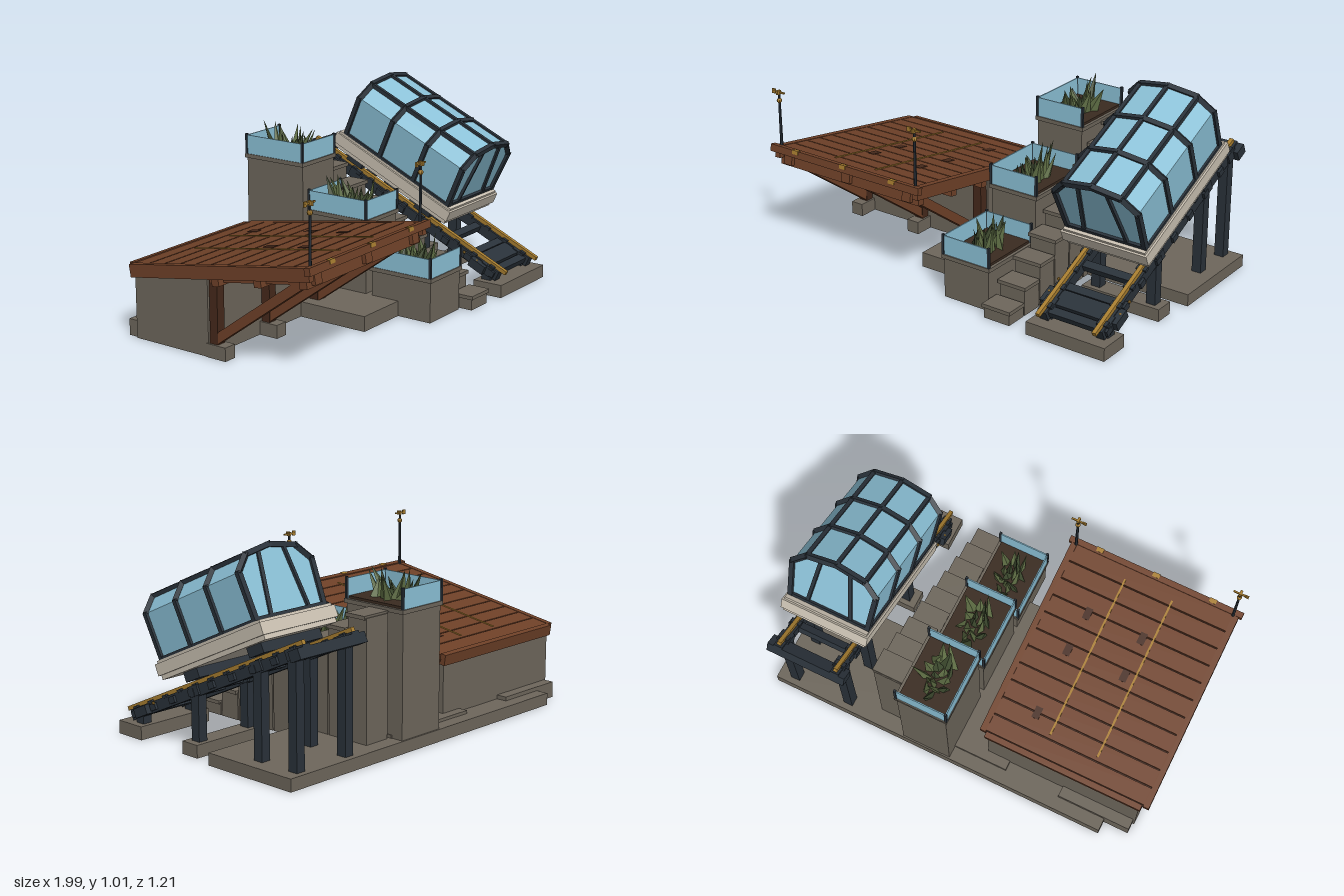
import * as THREE from 'three';

const mat = (name, color) => {
  const m = new THREE.MeshStandardMaterial({ color, flatShading: true });
  m.name = name;
  return m;
};

export function createModel() {
  const root = new THREE.Group();
  root.name = 'hillsideStation';
  const concrete = mat('concrete', 0x6e675c);
  const wood = mat('deck wood', 0x6f4128);
  const darkWood = mat('dark wood', 0x46291b);
  const soil = mat('soil', 0x3a2b20);
  const metal = mat('dark metal', 0x2a323a);
  const gold = mat('brass', 0xa87e30);
  const cream = mat('cream', 0xcac1b2);
  const glass = mat('glass', 0x8cc2d8);
  glass.side = THREE.DoubleSide;
  const leaf = mat('leaf', 0x5d6c43);
  const darkLeaf = mat('dark leaf', 0x3f4c30);

  const group = (name, parent = root) => {
    const g = new THREE.Group();
    g.name = name;
    parent.add(g);
    return g;
  };
  const add = (parent, name, geo, m) => {
    const mesh = new THREE.Mesh(geo, m);
    mesh.name = name;
    parent.add(mesh);
    return mesh;
  };
  // Box given by its limits on each axis
  const box = (parent, name, m, x0, x1, y0, y1, z0, z1) => {
    const b = add(parent, name, new THREE.BoxGeometry(x1 - x0, y1 - y0, z1 - z0), m);
    b.position.set((x0 + x1) / 2, (y0 + y1) / 2, (z0 + z1) / 2);
    return b;
  };
  // Square bar between two points
  const bar = (parent, name, m, a, b, w, h = w) => {
    const p = new THREE.Vector3(...a), q = new THREE.Vector3(...b);
    const s = add(parent, name, new THREE.BoxGeometry(w, h, p.distanceTo(q) + w * 0.5), m);
    s.position.copy(p).add(q).multiplyScalar(0.5);
    s.quaternion.setFromUnitVectors(new THREE.Vector3(0, 0, 1), q.sub(p).normalize());
    return s;
  };
  let seed = 7;
  const rand = () => (seed = (seed * 16807) % 2147483647) / 2147483647;

  // Foundations
  const base = group('foundation');
  box(base, 'backSlab', concrete, -0.8, 0.99, 0, 0.06, -0.59, -0.07);
  box(base, 'leftSlab', concrete, -0.93, -0.55, 0, 0.08, -0.525, -0.1);
  box(base, 'middleSlab', concrete, -0.26, 0.28, 0, 0.075, -0.52, 0.33);
  box(base, 'middleFooting', concrete, 0.54, 0.96, 0, 0.062, 0.04, 0.14);
  box(base, 'frontFooting', concrete, 0.54, 0.96, 0, 0.065, 0.43, 0.59);

  // Retaining wall with a top that follows the deck
  const wallShape = new THREE.Shape([[0.47, 0], [0.04, 0], [0.04, 0.385], [0.47, 0.315]]
    .map(p => new THREE.Vector2(...p)));
  const wall = add(root, 'retainingWall',
    new THREE.ExtrudeGeometry(wallShape, { depth: 0.8, bevelEnabled: false }), concrete);
  wall.rotation.y = Math.PI / 2;
  wall.position.x = -0.94;

  // Tilted plank deck
  const deck = group('deck');
  deck.position.set(-0.54, 0.538, 0.57);
  deck.rotation.x = -0.165;
  for (let i = 0; i < 11; i++) {
    const z = -0.03 - i * 0.0925;
    box(deck, 'plank', wood, -0.42, 0.42, -0.024, 0, z - 0.086, z);
  }
  box(deck, 'underlay', darkWood, -0.42, 0.42, -0.034, -0.022, -1.05, -0.02);
  box(deck, 'frontBeam', wood, -0.46, 0.46, -0.03, 0.006, -0.03, 0);
  box(deck, 'backBeam', wood, -0.41, 0.41, -0.05, 0.004, -1.075, -1.045);
  for (const s of [-1, 1]) {
    box(deck, 'sideBeam', wood, s * 0.43 - 0.015, s * 0.43 + 0.015, -0.06, 0.002, -1.05, -0.02);
  }
  for (const x of [-0.37, 0, 0.37]) {
    box(deck, 'joist', wood, x - 0.025, x + 0.025, -0.085, -0.034, -0.62, -0.03);
  }
  for (const z of [-0.07, -0.32, -0.56]) {
    box(deck, 'crossBeam', wood, -0.43, 0.43, -0.095, -0.045, z - 0.02, z + 0.02);
  }
  for (const x of [-0.122, 0.128]) {
    box(deck, 'brassInlay', gold, x - 0.005, x + 0.005, -0.002, 0.003, -0.93, -0.09);
  }
  for (const x of [-0.3, 0, 0.3]) {
    box(deck, 'brassPlate', gold, x - 0.018, x + 0.018, -0.012, 0.008, -0.02, 0.003);
  }
  for (const [x, z] of [[0.23, -0.86], [-0.07, -0.52], [0.23, -0.52], [-0.07, -0.32], [0.22, -0.32]]) {
    box(deck, 'knot', darkWood, x - 0.018, x + 0.018, -0.003, 0.002, z - 0.03, z + 0.03);
  }

  // Posts, diagonal braces and feet under the deck
  for (const x of [-0.91, -0.54, -0.17]) {
    box(root, 'deckFoot', concrete, x - 0.034, x + 0.034, 0, 0.065, -0.05, 0.06);
    box(root, 'deckPost', darkWood, x - 0.024, x + 0.024, 0.06, 0.4, -0.035, 0.01);
    bar(root, 'deckBrace', wood, [x, 0.09, 0], [x, 0.465, 0.51], 0.044);
  }

  // Wind vanes on the front corners of the deck
  for (const x of [-0.955, -0.12]) {
    const vane = group('windVane');
    vane.position.set(x, 0.53, 0.54);
    add(vane, 'mast', new THREE.CylinderGeometry(0.006, 0.008, 0.28, 6), metal).position.y = 0.14;
    add(vane, 'ball', new THREE.SphereGeometry(0.013, 8, 6), gold).position.y = 0.24;
    box(vane, 'arm', gold, -0.035, 0.035, 0.278, 0.286, -0.004, 0.004);
    box(vane, 'tail', gold, -0.042, -0.022, 0.27, 0.294, -0.003, 0.003);
    box(vane, 'pointer', gold, -0.006, 0.006, 0.272, 0.292, -0.008, 0.016);
  }

  // Three stepped planters, open on the stair side
  [[0.22, 0.17, 0.52], [0.445, -0.205, 0.15], [0.67, -0.59, -0.23]].forEach(([top, z0, z1]) => {
    const p = group('planter');
    box(p, 'planterTower', concrete, 0.02, 0.275, 0, top - 0.015, z0 + 0.008, z1 - 0.008);
    box(p, 'planterRim', concrete, 0.01, 0.285, top - 0.02, top, z0, z1);
    box(p, 'soilBed', soil, 0.025, 0.27, top - 0.005, top + 0.012, z0 + 0.015, z1 - 0.015);
    box(p, 'frontGlass', glass, 0.02, 0.275, top, top + 0.095, z1 - 0.012, z1 - 0.006);
    box(p, 'backGlass', glass, 0.02, 0.275, top, top + 0.095, z0 + 0.006, z0 + 0.012);
    box(p, 'sideGlass', glass, 0.014, 0.02, top, top + 0.095, z0 + 0.01, z1 - 0.01);
    for (const x of [0.016, 0.277]) for (const z of [z0 + 0.008, z1 - 0.008]) {
      box(p, 'glassPost', metal, x - 0.006, x + 0.006, top, top + 0.102, z - 0.006, z + 0.006);
    }
    // Spiky leaves, each a flattened cone leaning outwards
    for (let i = 0; i < 17; i++) {
      const h = 0.09 + rand() * 0.085, a = i * 2.4, r = Math.sqrt((i + 0.5) / 17);
      const geo = new THREE.ConeGeometry(0.026 + rand() * 0.012, h, 4);
      geo.scale(1, 1, 0.5).translate(0, h / 2 - 0.01, 0);
      const l = add(p, 'leaf', geo, i % 3 ? leaf : darkLeaf);
      l.position.set(0.145 + Math.cos(a) * r * 0.065, top + 0.005, (z0 + z1) / 2 + Math.sin(a) * r * 0.1);
      l.rotation.set(Math.sin(a) * r * 0.5, rand() * 3, -Math.cos(a) * r * 0.5);
    }
  });

  // Stair of solid steps
  for (let i = 0; i < 9; i++) {
    const z1 = 0.58 - i * 0.121, top = 0.073 * (i + 1);
    box(root, 'stepBlock', concrete, 0.295, 0.435, 0, top - 0.01, z1 - 0.121, z1 - 0.008);
    box(root, 'stepTread', concrete, 0.287, 0.443, top - 0.018, top, z1 - 0.116, z1);
  }

  // Inclined track; its local z runs downhill
  const track = group('track');
  track.position.set(0.75, 0.388, 0);
  track.rotation.x = 0.427;
  for (const s of [-1, 1]) {
    const x = s * 0.15;
    box(track, 'rail', gold, x - 0.01, x + 0.01, -0.02, 0, -0.635, 0.645);
    box(track, 'trackBeam', metal, x - 0.022, x + 0.022, -0.072, -0.02, -0.645, 0.615);
    for (let i = 0; i < 11; i++) {
      const z = -0.58 + i * 0.115;
      box(track, 'railClip', metal, x - 0.026, x + 0.026, -0.026, -0.012, z - 0.014, z + 0.014);
    }
    // Vertical posts with joint blocks
    for (const [z, h] of [[0.48, 0.12], [0.09, 0.3], [-0.32, 0.49], [-0.535, 0.585]]) {
      const px = 0.75 + x;
      box(root, 'trackPost', metal, px - 0.024, px + 0.024, 0.05, h, z - 0.025, z + 0.025);
      const j = box(root, 'postJoint', metal, px - 0.032, px + 0.032, h - 0.025, h + 0.025, z - 0.032, z + 0.032);
      j.rotation.x = 0.427;
    }
    for (const z of [0.62, 0.54]) {
      const bolt = add(track, 'bolt', new THREE.SphereGeometry(0.008, 6, 4), gold);
      bolt.position.set(s * 0.19, -0.03, z - 0.13);
    }
  }
  for (let i = 0; i < 9; i++) {
    const z = 0.58 - i * 0.148;
    box(track, 'crossTie', metal, -0.185, 0.185, -0.062, -0.03, z - 0.02, z + 0.02);
  }
  box(track, 'lowerEndBeam', metal, -0.205, 0.205, -0.07, -0.025, 0.46, 0.55);
  box(track, 'upperEndBeam', metal, -0.205, 0.205, -0.08, -0.03, -0.645, -0.58);

  // Glazed cabin riding on the rails
  const cabin = group('cabin', track);
  box(cabin, 'cabinFloor', cream, -0.218, 0.218, 0.05, 0.14, -0.485, 0.258);
  box(cabin, 'floorLip', cream, -0.228, 0.228, 0.072, 0.128, -0.495, 0.268);
  for (const z of [0.1, -0.36]) {
    box(cabin, 'bogie', metal, -0.18, 0.18, 0.004, 0.052, z - 0.05, z + 0.05);
  }
  const section = [[-0.205, 0.14], [-0.218, 0.36], [-0.15, 0.43], [0, 0.455], [0.15, 0.43], [0.218, 0.36], [0.205, 0.14]];
  const shell = add(cabin, 'cabinGlass', new THREE.ExtrudeGeometry(
    new THREE.Shape(section.map(p => new THREE.Vector2(...p))), { depth: 0.675, bevelEnabled: false }), glass);
  shell.position.z = -0.448;
  const zBack = -0.45, zFront = 0.23;
  for (let k = 0; k < 4; k++) {
    const z = zBack + (zFront - zBack) * k / 3;
    for (let i = 0; i < 6; i++) bar(cabin, 'rib', metal, [...section[i], z], [...section[i + 1], z], 0.024);
  }
  for (const i of [0, 2, 3, 4, 6]) {
    bar(cabin, 'purlin', metal, [...section[i], zBack], [...section[i], zFront], i % 6 ? 0.02 : 0.024);
  }
  // Sills and leaning mullions on both end windows
  for (const z of [zBack, zFront]) {
    bar(cabin, 'endSill', metal, [-0.205, 0.145, z], [0.205, 0.145, z], 0.022);
    for (const s of [-1, 1]) bar(cabin, 'mullion', metal, [s * 0.115, 0.14, z], [s * 0.075, 0.44, z], 0.018);
  }
  return root;
}
